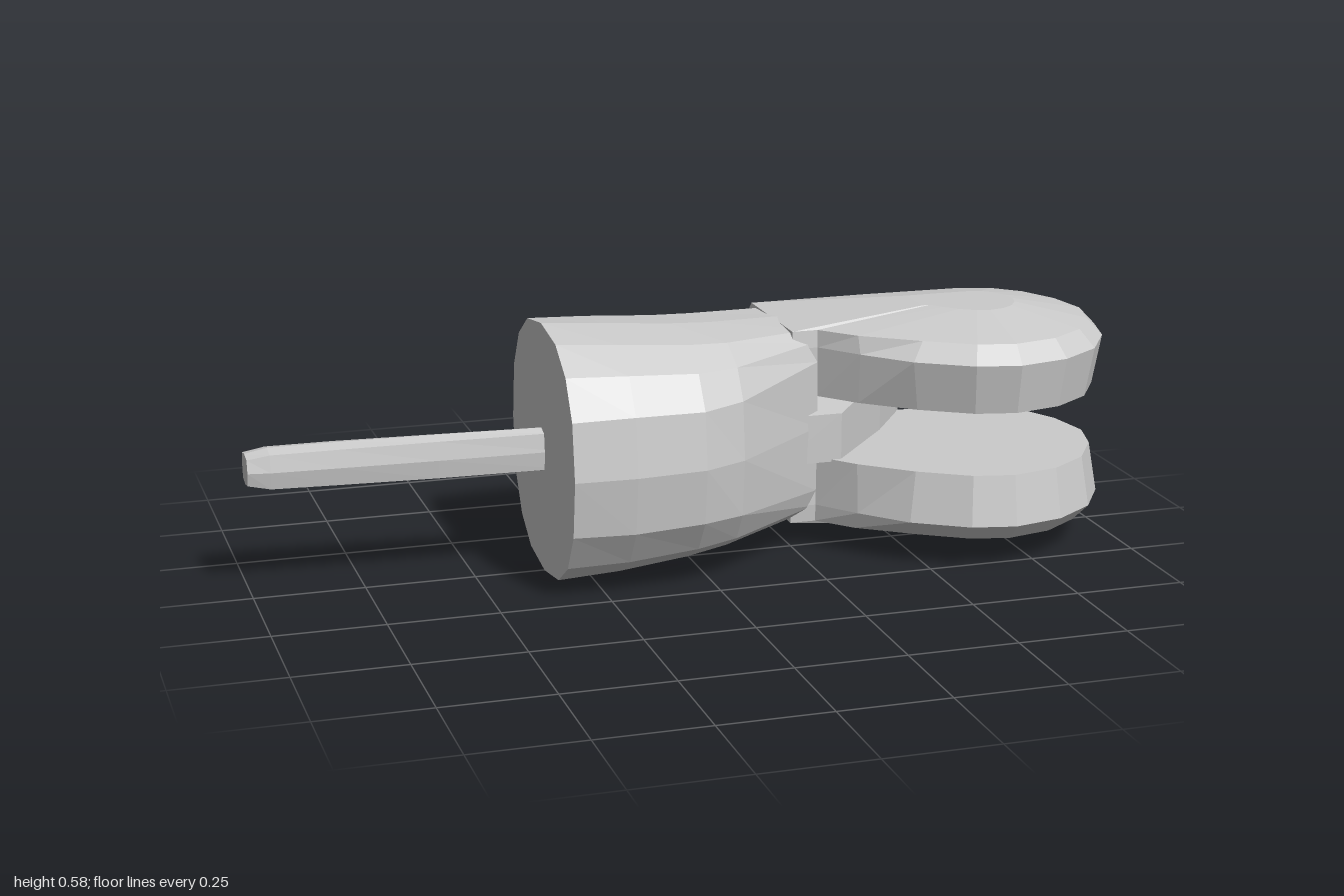
import * as THREE from 'three';

const material = new THREE.MeshStandardMaterial({ color: 0xcccccc, flatShading: true });

// Joins rings of [x, y, z] points into a closed solid with fan caps
function loft(name, rings) {
  const n = rings[0].length;
  const points = rings.flat();
  const index = [];
  for (let r = 0; r < rings.length - 1; r++) {
    for (let i = 0; i < n; i++) {
      const j = (i + 1) % n;
      const a = r * n + i, b = r * n + j, c = b + n, d = a + n;
      index.push(a, b, c, a, c, d);
    }
  }
  const centre = (ring) => [0, 1, 2].map((k) => ring.reduce((s, p) => s + p[k], 0) / n);
  const start = points.push(centre(rings[0])) - 1;
  const end = points.push(centre(rings.at(-1))) - 1;
  const last = (rings.length - 1) * n;
  for (let i = 0; i < n; i++) {
    const j = (i + 1) % n;
    index.push(start, j, i, end, last + i, last + j);
  }
  const geometry = new THREE.BufferGeometry();
  geometry.setAttribute('position', new THREE.Float32BufferAttribute(points.flat(), 3));
  geometry.setIndex(index);
  const flat = geometry.toNonIndexed();
  flat.computeVertexNormals();
  const mesh = new THREE.Mesh(flat, material);
  mesh.name = name;
  return mesh;
}

// Rounded cross-section across x; a higher power gives squarer corners
function section(x, y0, y1, z0, z1, power, sides = 16) {
  const soften = (v) => Math.sign(v) * Math.abs(v) ** (2 / power);
  return Array.from({ length: sides }, (_, i) => {
    const t = (i / sides) * Math.PI * 2;
    return [
      x,
      (y0 + y1) / 2 + soften(Math.cos(t)) * (y1 - y0) / 2,
      (z0 + z1) / 2 + soften(Math.sin(t)) * (z1 - z0) / 2,
    ];
  });
}

// Plan outline of a jaw as [x, z], from its root round the lobe and back
const jawOutline = [
  [0.24, 0.03], [0.30, 0.03], [0.37, 0.12], [0.46, 0.22], [0.58, 0.295], [0.68, 0.317],
  [0.80, 0.29], [0.90, 0.22], [0.97, 0.11], [1.0, 0.0], [0.98, -0.12], [0.93, -0.22],
  [0.86, -0.285], [0.76, -0.31], [0.50, -0.315], [0.24, -0.31],
];

function jaw(name, flip) {
  // Height and outline scale of each layer, from the mouth outwards
  const layers = [[0.365, 0.93], [0.48, 1], [0.52, 0.87], [0.555, 0.3]];
  const rings = layers.map(([y, s]) => jawOutline.map(([x, z]) => {
    const rooted = x < 0.4 && s > 0.5;
    return [rooted ? x : 0.7 + (x - 0.7) * s, flip ? 0.585 - y : y, z * s];
  }));
  return loft(name, flip ? rings.reverse() : rings);
}

export function createModel() {
  const group = new THREE.Group();

  // Barrel body, pinched on its front side towards the jaws
  group.add(loft('body', [
    section(-0.34, 0.0, 0.577, -0.28, 0.285, 2.4),
    section(-0.20, 0.012, 0.565, -0.30, 0.29, 2.6),
    section(-0.04, 0.03, 0.55, -0.313, 0.28, 2.7),
    section(0.06, 0.042, 0.54, -0.316, 0.235, 3),
    section(0.30, 0.068, 0.517, -0.312, 0.035, 5),
  ]));

  // Two mirrored jaws
  group.add(jaw('upperJaw', false), jaw('lowerJaw', true));

  // Wedge between the jaws at their root, its top rising to the back
  const wedge = [[0.2, 0.06], [0.35, 0.06], [0.52, -0.14], [0.61, -0.27], [0.63, -0.305], [0.2, -0.305]];
  group.add(loft('jawWedge', [
    wedge.map(([x, z]) => [x, 0.215, z]),
    wedge.map(([x, z]) => [x, 0.335 - z * 0.11, z]),
  ]));

  // Slim tail, bending towards the back
  group.add(loft('tail', [
    section(-1.0, 0.25, 0.32, -0.083, -0.003, 4, 8),
    section(-0.95, 0.238, 0.33, -0.085, 0.002, 4, 8),
    section(-0.80, 0.236, 0.332, -0.078, 0.008, 4, 8),
    section(-0.58, 0.234, 0.334, -0.058, 0.016, 4, 8),
    section(-0.30, 0.234, 0.334, -0.035, 0.022, 4, 8),
  ]));

  return group;
}
